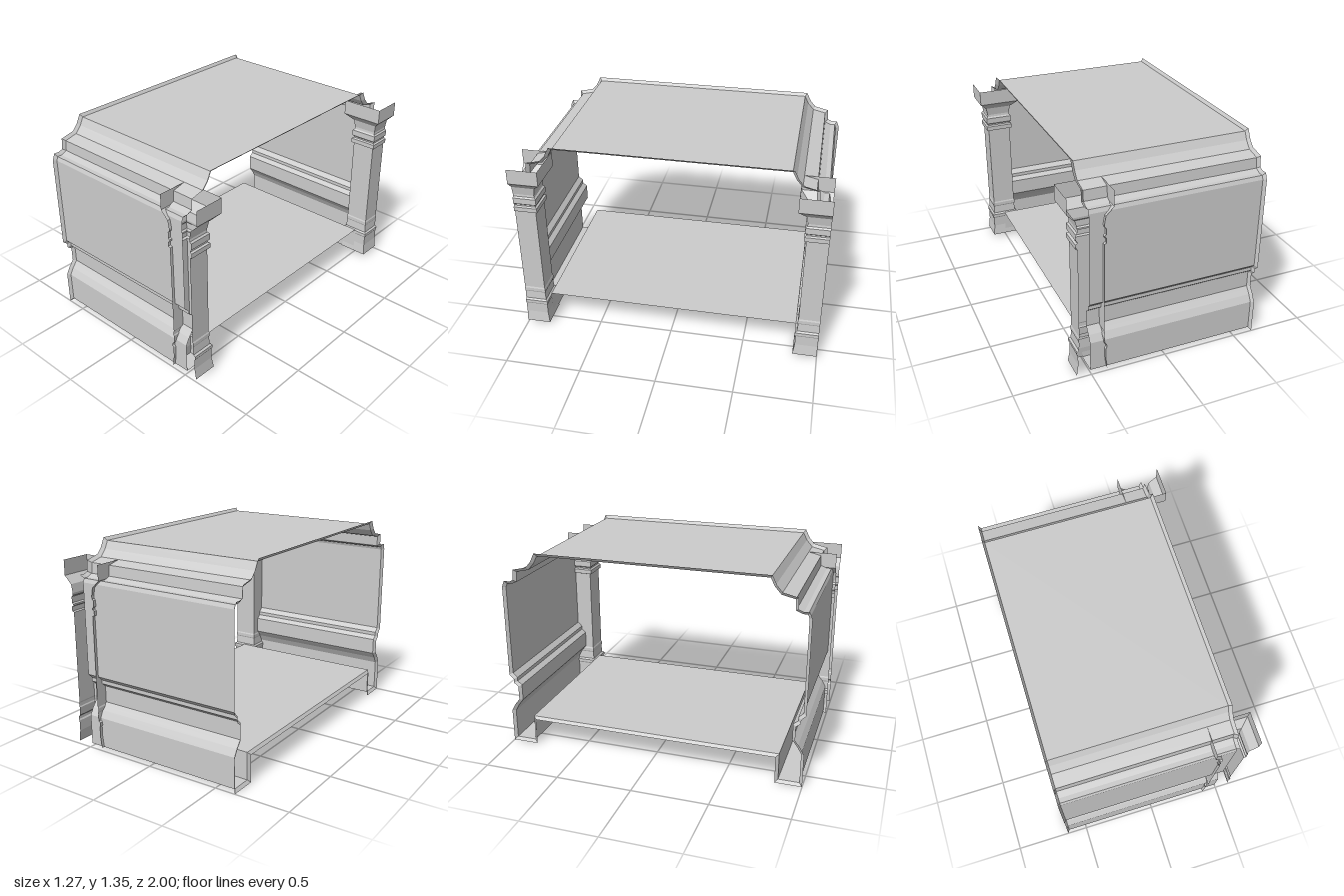
import * as THREE from 'three';

const material = new THREE.MeshStandardMaterial({ color: 0xcccccc, flatShading: true, side: THREE.DoubleSide });

// Sheet through rows of equal length, each point [x, y, z]
function sheet(name, rows) {
  const n = rows[0].length, index = [];
  for (let r = 0; r < rows.length - 1; r++) {
    for (let i = 0; i < n - 1; i++) {
      const a = r * n + i, b = a + n;
      index.push(a, b, a + 1, b, b + 1, a + 1);
    }
  }
  const indexed = new THREE.BufferGeometry();
  indexed.setAttribute('position', new THREE.Float32BufferAttribute(rows.flat(2), 3));
  indexed.setIndex(index);
  const geometry = indexed.toNonIndexed();
  geometry.computeVertexNormals();
  const mesh = new THREE.Mesh(geometry, material);
  mesh.name = name;
  return mesh;
}

// Corridor half section [z, y], from the floor edge round the plinth up to the ceiling
const half = [
  [0.845, 0.2], [0.845, 0.02], [0.98, 0.02], [0.98, 0.22], [0.955, 0.265], [0.935, 0.29],
  [0.92, 0.31], [0.92, 0.42], [0.95, 0.445], [0.95, 0.47], [0.98, 0.5], [0.98, 1.105],
  [0.97, 1.13],
  [0.94, 1.13], [0.9, 1.147], [0.895, 1.215], [0.81, 1.235], [0.77, 1.28], [0.745, 1.33],
];
const WALL_TOP = 12;
const loop = [...half, ...half.map(([z, y]) => [-z, y]).reverse()];

// Section pushed outward by a distance, mitred at the corners
function offset(points, d) {
  const count = points.length;
  const normal = (i) => {
    const a = points[(i + count) % count], b = points[(i + 1) % count];
    return new THREE.Vector2(b[1] - a[1], a[0] - b[0]).normalize();
  };
  return points.map(([z, y], i) => {
    const p = normal(i - 1), q = normal(i);
    const m = p.clone().add(q).multiplyScalar(d / Math.max(0.6, 1 + p.dot(q)));
    return [z + m.x, y + m.y];
  });
}

// Square pilaster profile [half width, y]
const pilasterProfile = [
  [0.1, 0.02], [0.09, 0.095], [0.09, 0.165], [0.096, 0.175], [0.096, 0.195], [0.084, 0.205],
  [0.08, 0.26], [0.084, 0.268], [0.084, 0.29], [0.08, 0.3],
  [0.08, 0.905], [0.094, 0.91], [0.094, 0.94], [0.082, 0.947], [0.082, 0.957], [0.092, 0.965],
  [0.092, 1.005], [0.082, 1.015], [0.08, 1.03], [0.09, 1.085], [0.14, 1.135], [0.14, 1.235],
];

// Three-sided pilaster, open towards the outside of the wall
function pilaster(name, side) {
  const cx = 0.495, cz = 0.94;
  const rows = pilasterProfile.map(([w, y]) => [
    [cx - w, y, side], [cx - w, y, side * (cz - w)], [cx + w, y, side * (cz - w)], [cx + w, y, side],
  ]);
  return sheet(name, rows);
}

export function createModel() {
  const group = new THREE.Group();
  group.name = 'corridorSection';
  const X0 = -0.622, X1 = 0.5, LIP = 0.02;
  const flared = offset(loop, LIP);
  const at = (points, x) => points.map(([z, y]) => [x, y, z]);
  const last = loop.length;

  // Lengthwise panels, with a flared joint lip at the far end
  const panel = (name, pick, lipAtNearEnd) => {
    const rows = [at(pick(flared), X0 - 0.015), at(pick(loop), X0), at(pick(loop), X1)];
    if (lipAtNearEnd) rows.push(at(pick(flared), X1 + 0.02));
    group.add(sheet(name, rows));
  };
  panel('leftWall', (p) => p.slice(0, WALL_TOP + 1), false);
  panel('rightWall', (p) => p.slice(last - WALL_TOP - 1), false);
  panel('ceilingAndCornice', (p) => p.slice(WALL_TOP, last - WALL_TOP), true);
  panel('floor', (p) => [p[last - 1], p[0]], false);

  // Pair of pilasters framing the near end
  group.add(pilaster('frontPilaster', 1), pilaster('backPilaster', -1));
  return group;
}
